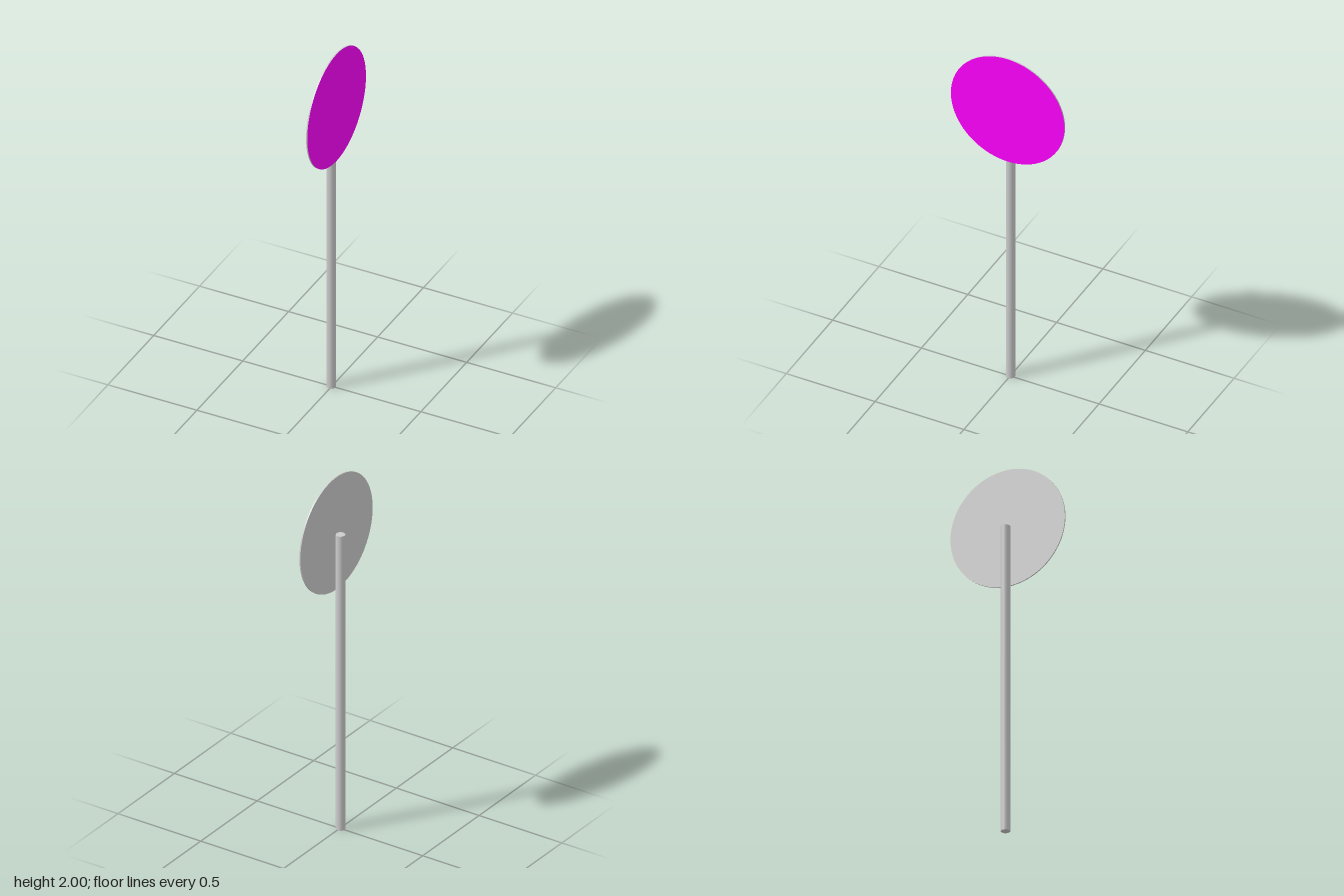
import * as THREE from 'three';

export function createModel() {
  const group = new THREE.Group();
  const grey = new THREE.MeshStandardMaterial({ color: 0xcccccc });
  const magenta = new THREE.MeshStandardMaterial({ color: 0xff00ff });

  const poleRadius = 0.024, poleHeight = 1.68, poleX = -0.0038;
  const plateRadius = 0.32, plateThickness = 0.007;

  // upright round pole
  const pole = new THREE.Mesh(
    new THREE.CylinderGeometry(poleRadius, poleRadius, poleHeight, 32), grey);
  pole.name = 'pole';
  pole.position.set(poleX, poleHeight / 2, 0);
  group.add(pole);

  // thin round sign plate against the pole: coloured face on +x, grey rim and back
  const plate = new THREE.Mesh(
    new THREE.CylinderGeometry(plateRadius, plateRadius, plateThickness, 64),
    [grey, magenta, grey]);
  plate.name = 'signPlate';
  plate.rotation.z = -Math.PI / 2;
  plate.position.set(poleX + poleRadius + plateThickness / 2, poleHeight, 0);
  group.add(plate);

  return group;
}
